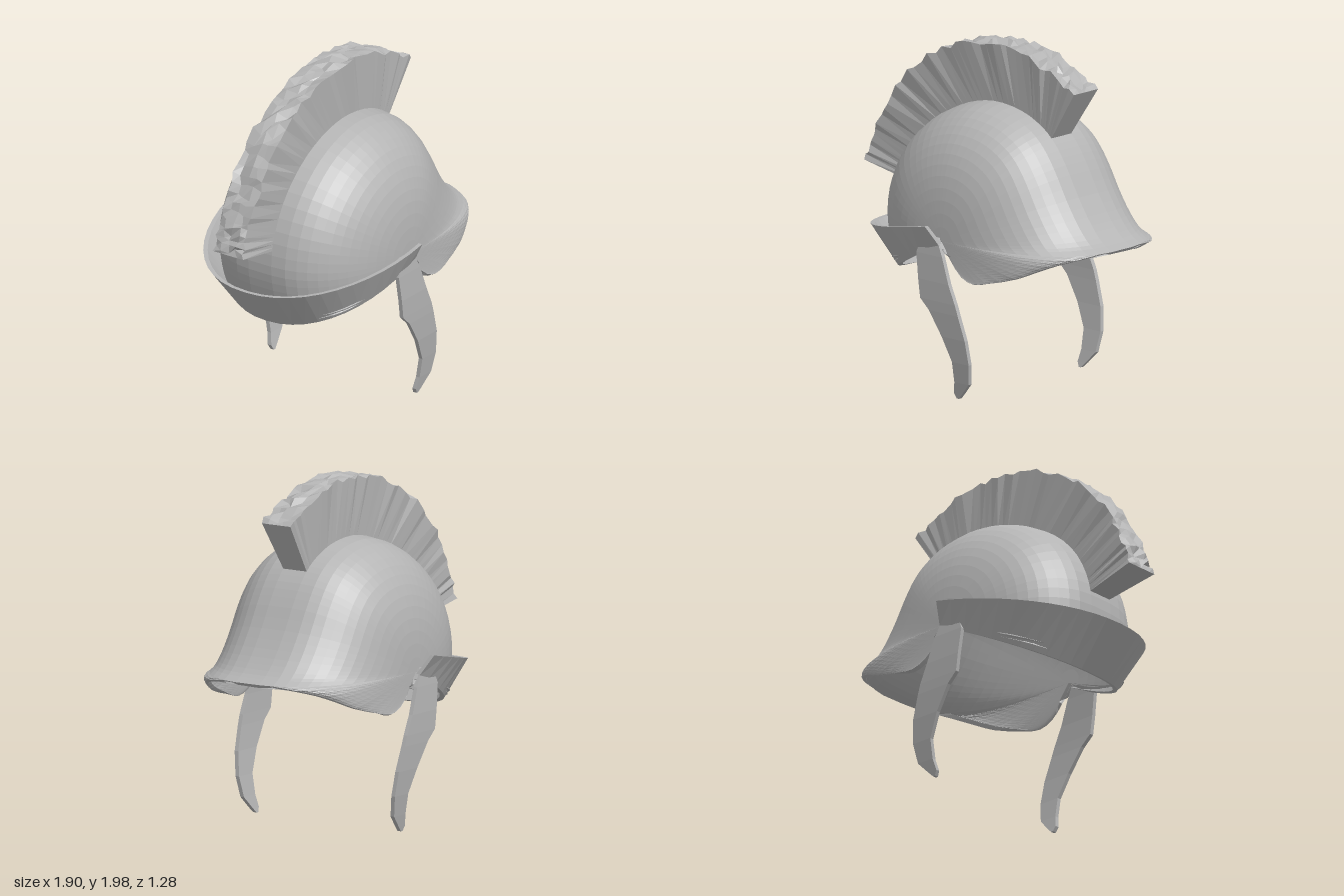
import * as THREE from 'three';

const steel = new THREE.MeshStandardMaterial({ color: 0xb4b4b4, flatShading: true });
steel.name = 'plain grey';
const V = (x, y, z) => new THREE.Vector3(x, y, z);

let seed = 7;
const jitter = (a) => {
  seed = (seed * 16807) % 2147483647;
  return (seed / 2147483647 - 0.5) * 2 * a;
};

function meshFrom(points, index, name) {
  const g = new THREE.BufferGeometry().setFromPoints(points);
  g.setIndex(index);
  const flat = g.toNonIndexed();
  flat.computeVertexNormals();
  const mesh = new THREE.Mesh(flat, steel);
  mesh.name = name;
  return mesh;
}

// Solid through a row of closed cross-sections, capped at both ends, facing outwards
function loft(rings, name) {
  const n = rings[0].length, last = rings.length - 1;
  const pts = rings.flat(), idx = [];
  for (let i = 0; i < last; i++) for (let j = 0; j < n; j++) {
    const a = i * n + j, b = i * n + (j + 1) % n;
    idx.push(a, b, a + n, b, b + n, a + n);
  }
  for (const r of [0, last]) {
    const c = rings[r].reduce((s, p) => s.add(p), V(0, 0, 0)).divideScalar(n);
    pts.push(c);
    for (let j = 0; j < n; j++) {
      const a = r * n + j, b = r * n + (j + 1) % n;
      idx.push(pts.length - 1, ...(r ? [a, b] : [b, a]));
    }
  }
  let volume = 0;
  for (let i = 0; i < idx.length; i += 3)
    volume += pts[idx[i]].dot(V(0, 0, 0).crossVectors(pts[idx[i + 1]], pts[idx[i + 2]]));
  if (volume < 0) idx.reverse();
  return meshFrom(pts, idx, name);
}

// Edge lines of one half of the bowl: front rim, centre ridge, back rim
const frontRim = [[0.09, 0.86, 0.535], [0.13, 0.8, 0.535], [0.21, 0.725, 0.54], [0.3, 0.695, 0.54], [0.4, 0.71, 0.53],
  [0.6, 0.765, 0.485], [0.7, 0.81, 0.44], [0.8, 0.855, 0.37], [0.9, 0.89, 0.24], [0.95, 0.91, 0.08]];
const ridge = [[0.95, 0.91], [0.88, 0.95], [0.8, 1.03], [0.7, 1.17], [0.6, 1.34], [0.52, 1.45], [0.43, 1.53], [0.28, 1.6],
  [0.07, 1.63], [-0.12, 1.6], [-0.32, 1.51], [-0.5, 1.35], [-0.61, 1.15], [-0.645, 0.95], [-0.625, 0.8], [-0.58, 0.65]];
const backRim = [[-0.58, 0.65, 0.08], [-0.55, 0.662, 0.2], [-0.45, 0.69, 0.35], [-0.3, 0.74, 0.46],
  [-0.15, 0.8, 0.52], [0, 0.865, 0.535]];
const sample = (list, n) =>
  new THREE.CatmullRomCurve3(list.map(([x, y, z = 0.08]) => V(x, y, z))).getPoints(n);

// Bowl: both sides fan in from the edge to a pole at the temple, with thickness
function bowl() {
  const A = 18, B = 44, C = 12, M = 14;
  const edge = [...sample(frontRim, A), ...sample(ridge, B).slice(1), ...sample(backRim, C).slice(1)];
  const N = edge.length, half = N * M + 1, outer = [], idx = [];
  for (const s of [1, -1]) {
    for (const e of edge) for (let j = 0; j < M; j++) {
      const t = (j / M) ** 1.6;
      const f = Math.sqrt(1 - (1 - t) ** 2.6);
      outer.push(V(e.x + (0.06 - e.x) * t, e.y + (0.9 - e.y) * t, s * (e.z + (0.535 - e.z) * f)));
    }
    outer.push(V(0.06, 0.9, s * 0.535));
  }
  const id = (side, i, j) => side * half + (j === M ? N * M : i * M + j);
  for (let side = 0; side < 2; side++) {
    const tri = (a, b, c) => idx.push(...(side ? [a, c, b] : [a, b, c]));
    for (let i = 0; i < N - 1; i++) for (let j = 0; j < M; j++) {
      tri(id(side, i, j), id(side, i + 1, j), id(side, i, j + 1));
      if (j < M - 1) tri(id(side, i + 1, j), id(side, i + 1, j + 1), id(side, i, j + 1));
    }
  }
  // Flat centre strip
  for (let i = A; i < A + B; i++) {
    const l = id(0, i, 0), r = id(1, i, 0), l2 = id(0, i + 1, 0), r2 = id(1, i + 1, 0);
    idx.push(l, r, l2, r, r2, l2);
  }
  // Inner wall, offset along the normals
  const g = new THREE.BufferGeometry().setFromPoints(outer);
  g.setIndex(idx);
  g.computeVertexNormals();
  const nrm = g.attributes.normal, K = outer.length;
  const inner = outer.map((p, i) =>
    p.clone().addScaledVector(V(nrm.getX(i), nrm.getY(i), nrm.getZ(i)), -0.025));
  const all = [...idx];
  const edges = new Set();
  for (let i = 0; i < idx.length; i += 3) {
    const t = [idx[i], idx[i + 1], idx[i + 2]];
    all.push(t[0] + K, t[2] + K, t[1] + K);
    t.forEach((a, k) => edges.add(a + ',' + t[(k + 1) % 3]));
  }
  // Rim closing the open edges
  for (const e of edges) {
    const [a, b] = e.split(',').map(Number);
    if (!edges.has(b + ',' + a)) all.push(b, a, a + K, b, a + K, b + K);
  }
  return meshFrom([...outer, ...inner], all, 'helmetBowl');
}

// Plume: upright fan over the ridge with a ragged top
function crest() {
  const n = 40, across = 5;
  const low = sample([[0.48, 1.485], [0.42, 1.525], [0.28, 1.59], [0.07, 1.62], [-0.12, 1.59], [-0.32, 1.5],
    [-0.5, 1.34], [-0.6, 1.15], [-0.63, 1.05]], n);
  const high = sample([[0.67, 1.775], [0.55, 1.84], [0.4, 1.905], [0.2, 1.955], [0.03, 1.965], [-0.2, 1.925], [-0.4, 1.85],
    [-0.6, 1.71], [-0.75, 1.52], [-0.85, 1.36], [-0.92, 1.22], [-0.95, 1.12]], n);
  const rings = low.map((p, i) => {
    const end = i === 0 || i === n, q = high[i];
    const ring = [V(p.x, p.y, 0.08), V(p.x, p.y, -0.08)];
    for (let k = 0; k < across; k++) {
      const side = k === 0 || k === across - 1;
      const r = end ? 0 : 0.016;
      ring.push(V(q.x + jitter(r), q.y + jitter(r * 1.1), -0.097 + 0.194 * k / (across - 1) + jitter(side ? 0.01 : 0.018)));
    }
    return ring;
  });
  return loft(rings, 'crest');
}

// Neck guard: flared band around the back
function neckGuard() {
  const rings = [], n = 24;
  for (let i = 0; i <= n; i++) {
    const a = -Math.PI / 2 + Math.PI * i / n, c = Math.cos(a);
    const s = Math.sign(a) * Math.abs(Math.sin(a)) ** 0.92;
    const at = (x0, rx, y0, dy, rz, t) => V(x0 - (rx - t) * c, y0 - dy * c, (rz - t) * s);
    rings.push([at(0.03, 0.815, 1, 0.17, 0.64, 0), at(0.07, 0.65, 0.88, 0.3, 0.565, 0),
      at(0.07, 0.65, 0.885, 0.295, 0.565, 0.025), at(0.03, 0.815, 1, 0.17, 0.64, 0.025)]);
  }
  return loft(rings, 'neckGuard');
}

// Cheek guard: curved plate, rows of height, back x and front x
function cheekGuard(s) {
  const rows = [[0.92, -0.06, 0.05], [0.82, -0.1, 0.1], [0.67, -0.08, 0.155], [0.56, -0.065, 0.205], [0.5, 0, 0.225],
    [0.36, 0.09, 0.27], [0.22, 0.155, 0.285], [0.1, 0.155, 0.265], [0.03, 0.14, 0.2], [0, 0.155, 0.17]];
  const rings = rows.map(([y, x0, x1]) => {
    const z = 0.51 + 0.22 * y - 0.175 * y * y;
    return [V(x0, y, s * z), V(x1, y, s * z), V(x1, y, s * (z - 0.025)), V(x0, y, s * (z - 0.025))];
  });
  return loft(rings, s > 0 ? 'leftCheekGuard' : 'rightCheekGuard');
}

export function createModel() {
  seed = 7;
  const group = new THREE.Group();
  group.name = 'crestedHelmet';
  group.add(bowl(), crest(), neckGuard(), cheekGuard(1), cheekGuard(-1));
  return group;
}
